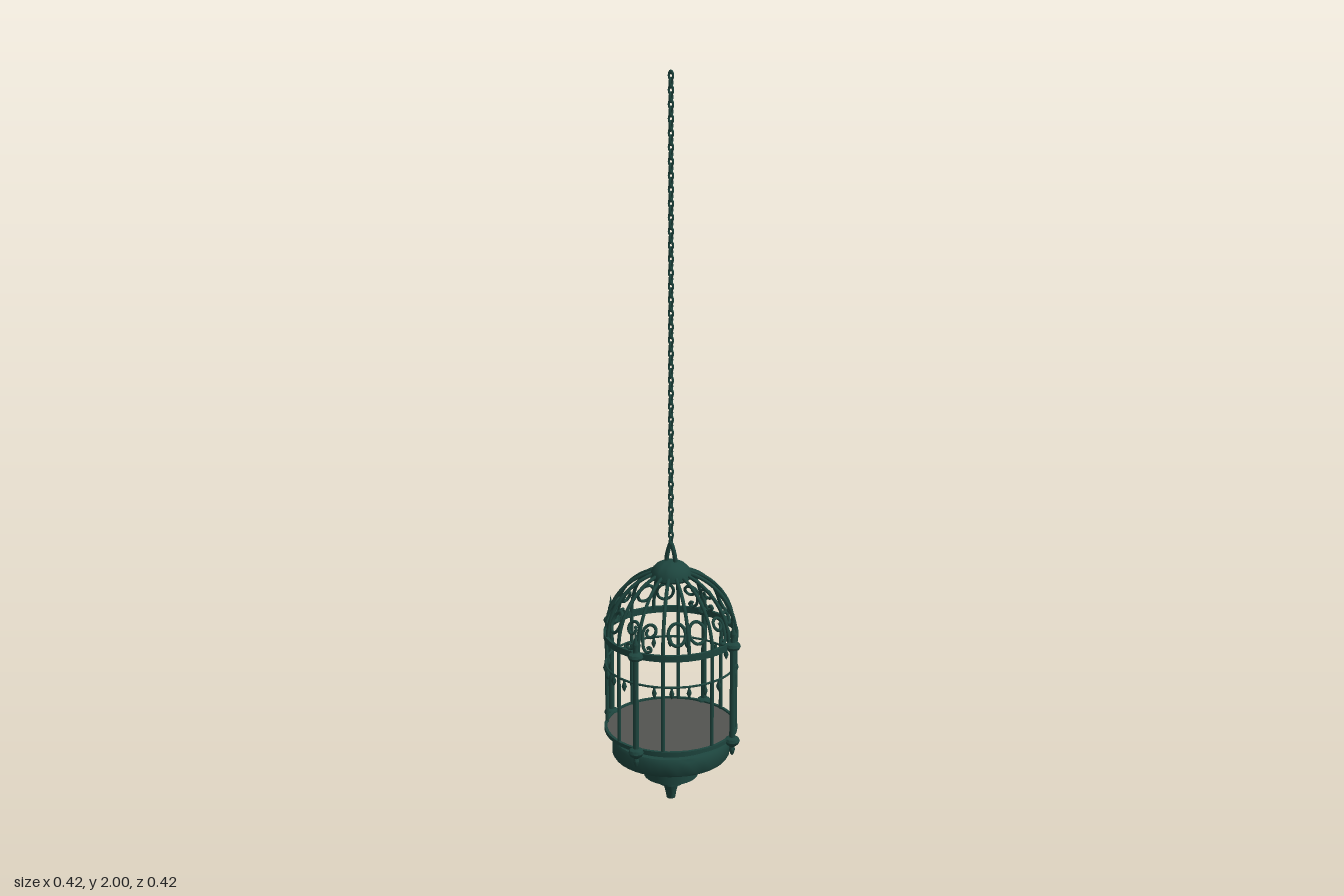
import * as THREE from 'three';
import { toCreasedNormals } from 'three/addons/utils/BufferGeometryUtils.js';

const green = new THREE.MeshStandardMaterial({ color: 0x1d453e });
green.name = 'dark green iron';
const grey = new THREE.MeshStandardMaterial({ color: 0x535450 });
grey.name = 'grey floor';

const DOME_Y = 0.495, DOME_R = 0.177, DOME_H = 0.18;
const domeRadius = y => DOME_R * Math.sqrt(Math.max(0, 1 - ((y - DOME_Y) / DOME_H) ** 2));

export function createModel() {
  const root = new THREE.Group();
  root.name = 'hangingCage';

  function add(parent, name, geometry, material = green) {
    const mesh = new THREE.Mesh(geometry, material);
    mesh.name = name;
    parent.add(mesh);
    return mesh;
  }
  // turned part from [radius, height] pairs listed bottom to top
  const lathe = (points, sides = 32) => toCreasedNormals(
    new THREE.LatheGeometry(points.map(p => new THREE.Vector2(...p)), sides), 0.7);
  const tube = (points, radius, steps, closed = false) => new THREE.TubeGeometry(
    new THREE.CatmullRomCurve3(points, closed), steps, radius, 6, closed);
  // group whose +z points outward at the given angle around the cage
  function spoke(name, angle) {
    const g = new THREE.Group();
    g.name = name;
    g.rotation.y = angle;
    root.add(g);
    return g;
  }
  // flat (x, y) point laid just inside the dome, leaning inward
  const onDome = (x, y) => {
    const r = domeRadius(y) - 0.12 * (y - 0.5);
    return new THREE.Vector3(x, y, Math.sqrt(r * r - x * x));
  };

  // stepped base with hanging finial
  add(root, 'base', lathe([
    [0, 0], [0.012, 0.002], [0.015, 0.02], [0.02, 0.04], [0.022, 0.048],
    [0.036, 0.05], [0.036, 0.075], [0.075, 0.075], [0.075, 0.14],
    [0.158, 0.14], [0.162, 0.146], [0.162, 0.182], [0.157, 0.19],
    [0.145, 0.192], [0.145, 0.216], [0, 0.216],
  ], 40));

  // floor plate: grey on top, iron on the rim and underside
  add(root, 'floor', new THREE.CylinderGeometry(0.178, 0.178, 0.003, 40),
    [green, grey, green]).position.y = 0.219;

  // hoops
  const band = (name, y0, y1) => add(root, name, lathe([
    [0.175, y0], [0.183, y0], [0.183, y1], [0.175, y1], [0.175, y0]], 40));
  band('lowerHoop', 0.214, 0.225);
  band('upperHoop', 0.484, 0.502);
  const hoop = add(root, 'middleHoop', new THREE.TorusGeometry(0.178, 0.003, 6, 40));
  hoop.rotation.x = Math.PI / 2;
  hoop.position.y = 0.41;

  // wall bars between the posts
  for (let i = 0; i < 8; i++) {
    const g = spoke('wallBar', Math.PI / 8 + i * Math.PI / 4);
    add(g, 'bar', new THREE.CylinderGeometry(0.005, 0.005, 0.28, 8)).position.set(0, 0.355, 0.177);
  }

  // pendant drops under the middle hoop
  const drop = lathe([[0, -0.034], [0.004, -0.027], [0.007, -0.018], [0.004, -0.009], [0.003, 0]], 8);
  for (let i = 0; i < 24; i++) {
    if (i % 6 === 0) continue;
    add(spoke('pendant', i * Math.PI / 12), 'drop', drop).position.set(0, 0.41, 0.178);
  }

  // dome ribs
  const ribPoints = [];
  for (let i = 0; i <= 10; i++) {
    const a = i / 10 * 1.35;
    ribPoints.push(new THREE.Vector3(0, DOME_Y + DOME_H * Math.sin(a), DOME_R * Math.cos(a)));
  }
  const rib = tube(ribPoints, 0.005, 20);
  for (let i = 0; i < 16; i++) add(spoke('domeRib', i * Math.PI / 8), 'rib', rib);

  // corner posts with collars, spikes and tips
  const post = lathe([
    [0, 0.173], [0.005, 0.18], [0.008, 0.192], [0.006, 0.2], [0.018, 0.21],
    [0.021, 0.217], [0.018, 0.225], [0.008, 0.229], [0.0075, 0.482], [0.018, 0.486],
    [0.021, 0.493], [0.018, 0.5], [0.007, 0.505], [0.006, 0.518], [0.008, 0.528],
    [0.004, 0.54], [0, 0.568],
  ], 12);

  // scroll: spiral, stem and small lower curl
  function scroll(side) {
    const flat = [];
    for (let i = 0; i <= 16; i++) {
      const t = i / 16, a = Math.PI * (-1.3 + 2.3 * t), r = 0.008 + 0.012 * t;
      flat.push([0.026 + r * Math.cos(a), 0.556 + r * Math.sin(a)]);
    }
    flat.push([0.01, 0.532], [0.016, 0.513], [0.026, 0.505], [0.036, 0.511], [0.031, 0.519], [0.025, 0.515]);
    return tube(flat.map(([x, y]) => onDome(side * x, y)), 0.0045, 70);
  }
  const scrolls = [scroll(1), scroll(-1)];
  for (let i = 0; i < 4; i++) {
    const g = spoke('postAssembly', i * Math.PI / 2);
    add(g, 'post', post).position.z = 0.19;
    scrolls.forEach(s => add(g, 'scroll', s));
  }

  // paired rings between the posts, curved to the dome
  const ringPoints = [];
  for (let i = 0; i < 16; i++) {
    const a = i * Math.PI / 8;
    ringPoints.push(onDome(0.023 * Math.cos(a), 0.552 + 0.027 * Math.sin(a)));
  }
  const ring = tube(ringPoints, 0.0045, 32, true);
  for (let i = 0; i < 4; i++)
    for (const s of [-1, 1])
      add(spoke('domeRing', Math.PI / 4 + i * Math.PI / 2 + s * 0.175), 'ring', ring);

  // crown cap
  add(root, 'cap', lathe([
    [0, 0.652], [0.051, 0.652], [0.056, 0.658], [0.055, 0.667], [0.049, 0.681],
    [0.038, 0.692], [0.022, 0.7], [0, 0.703],
  ]));

  // hanging loop, narrowing upward to the chain
  const loopPoints = [[-0.014, 0.695], [-0.012, 0.715], [-0.006, 0.738], [0, 0.752],
    [0.006, 0.738], [0.012, 0.715], [0.014, 0.695]].map(([x, y]) => new THREE.Vector3(x, y, 0));
  add(root, 'loop', tube(loopPoints, 0.006, 28));

  // chain of alternating links up to the top
  const chain = new THREE.Group();
  chain.name = 'chain';
  root.add(chain);
  const link = new THREE.TorusGeometry(0.006, 0.0033, 6, 12);
  link.scale(1, 1.6, 1);
  const count = 70, first = 0.757, last = 1.985;
  for (let i = 0; i < count; i++) {
    const m = add(chain, 'link', link);
    m.position.y = first + (last - first) * i / (count - 1);
    m.rotation.y = i % 2 ? 0 : Math.PI / 2;
  }
  return root;
}
